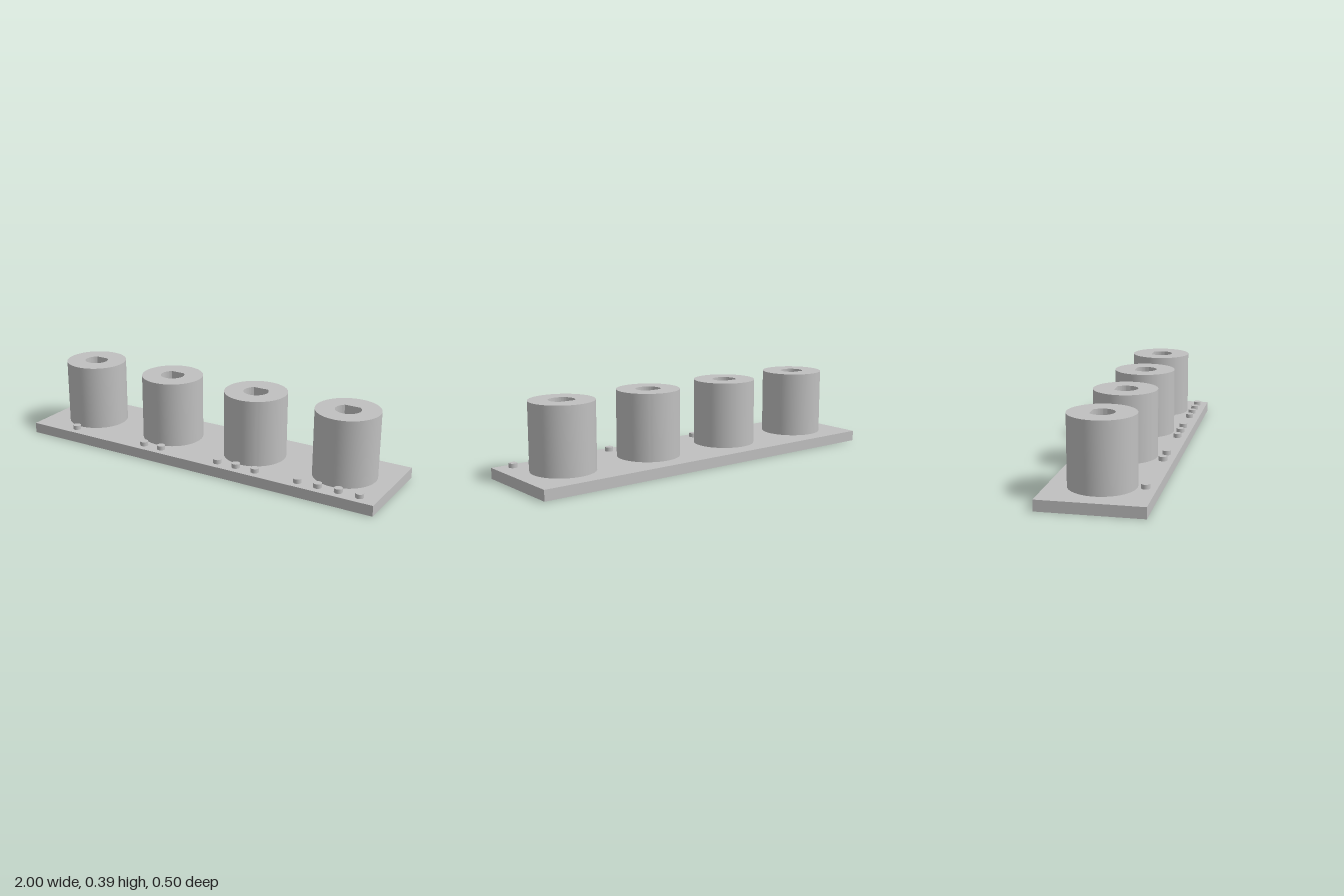
import * as THREE from 'three';
import { toCreasedNormals } from 'three/addons/utils/BufferGeometryUtils.js';

const PLATE_TOP = 0.054, POST_TOP = 0.394;
const POST_X = [-0.75, -0.25, 0.25, 0.75];

// D-shaped bore: a circle cut by a flat on the back side
function boreOutline(x, i) {
  const r = 0.061 + 0.001 * i;
  const a = Math.asin(0.05 / r);
  const path = new THREE.Path();
  path.absarc(x, 0, r, Math.PI - a, Math.PI * 2 + a, false);
  path.closePath();
  return path;
}

// Extrude a plan outline upwards from y0 to y1
function extrudeUp(shape, y0, y1) {
  const geo = new THREE.ExtrudeGeometry(shape, { depth: y1 - y0, bevelEnabled: false, curveSegments: 48 });
  geo.rotateX(-Math.PI / 2).translate(0, y0, 0);
  return toCreasedNormals(geo, 0.5);
}

export function createModel() {
  const group = new THREE.Group();
  const grey = new THREE.MeshStandardMaterial({ color: 0xc0c0c0 });
  grey.name = 'grey';

  const add = (name, geo) => {
    const mesh = new THREE.Mesh(geo, grey);
    mesh.name = name;
    group.add(mesh);
    return mesh;
  };

  // Base plate, drilled through under every post
  const plate = new THREE.Shape();
  plate.moveTo(-1, -0.25).lineTo(1, -0.25).lineTo(1, 0.25).lineTo(-1, 0.25).closePath();
  plate.holes = POST_X.map(boreOutline);
  add('basePlate', extrudeUp(plate, 0, PLATE_TOP));

  const dotGeo = new THREE.CylinderGeometry(0.021, 0.021, 0.022, 24);
  POST_X.forEach((x, i) => {
    // Hollow post
    const ring = new THREE.Shape();
    ring.absarc(x, 0, 0.16, 0, Math.PI * 2, false);
    ring.holes.push(boreOutline(x, i));
    add(`post${i + 1}`, extrudeUp(ring, PLATE_TOP, POST_TOP));

    // Counting dots in front: one for the first post, up to four for the last
    for (let k = 0; k <= i; k++) {
      add(`dot${i + 1}_${k + 1}`, dotGeo).position.set(x + (k - i / 2) * 0.107, PLATE_TOP + 0.011, 0.197);
    }
  });

  return group;
}
